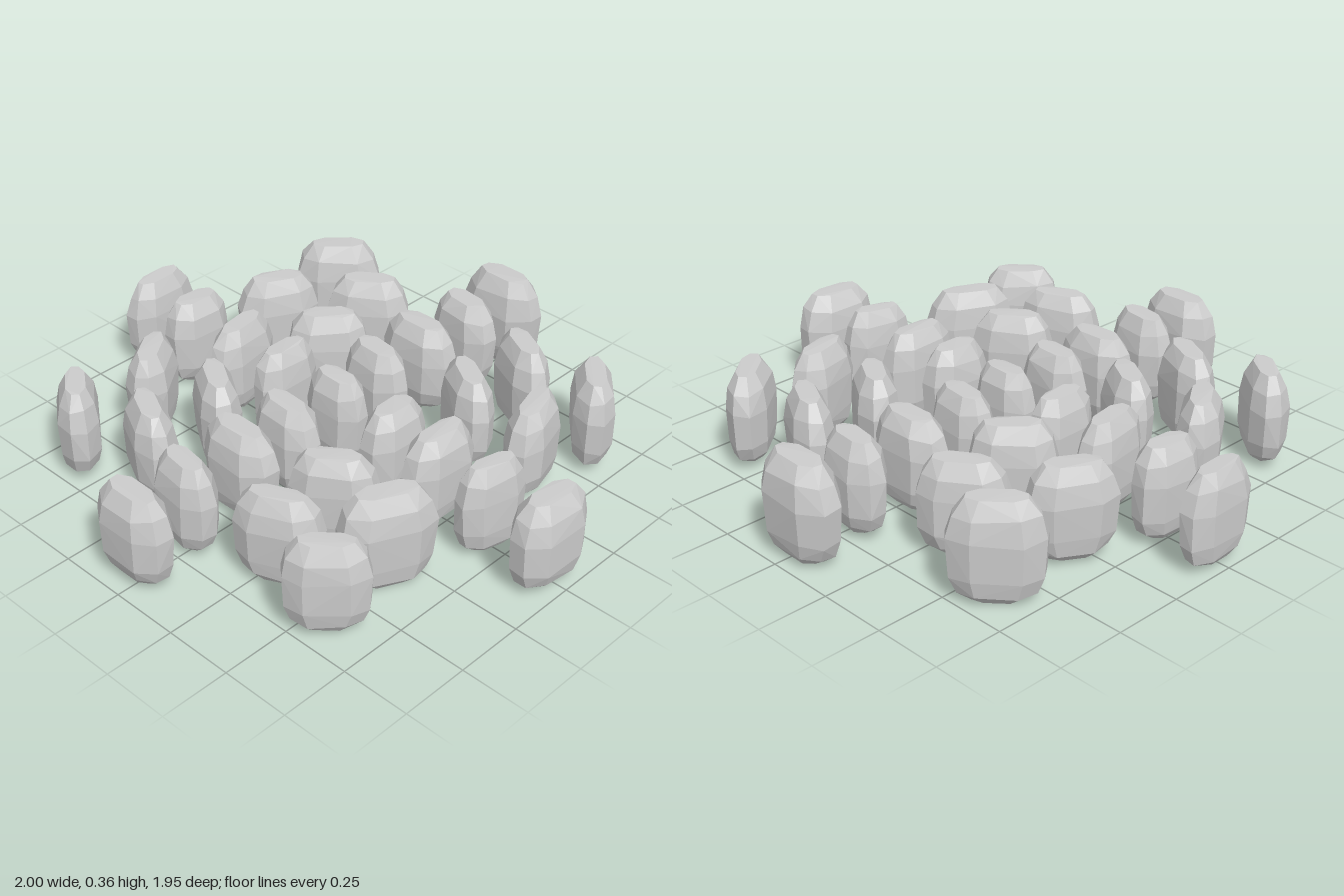
import * as THREE from 'three';
import { ConvexGeometry } from 'three/addons/geometries/ConvexGeometry.js';

// Small seeded generator for the chipped facets, range -1..1
function makeRandom(seed) {
  let s = seed * 7919 + 17;
  return () => {
    s = (s * 16807) % 2147483647;
    return (s / 2147483647) * 2 - 1;
  };
}

// Height levels of a stone: [y, length scale, thickness scale]
const LEVELS = [
  [0, 0.5, 0.5],
  [0.09, 0.8, 0.8],
  [0.25, 0.96, 0.96],
  [0.62, 1, 1],
  [0.84, 0.87, 0.86],
  [1, 0.62, 0.48],
];

// Blunt-ended hexagonal plan, as corners of one quarter
const PLAN = [[0.5, 0.2], [0.27, 0.5]];

// Upright faceted stone: length along x, thickness along z
function stoneGeometry(length, thickness, height, seed) {
  const random = makeRandom(seed);
  const points = [];
  LEVELS.forEach(([y, sx, sz], level) => {
    const flat = level === 0 || level === LEVELS.length - 1;
    for (const [px, pz] of PLAN) {
      for (const mx of [-1, 1]) {
        for (const mz of [-1, 1]) {
          points.push(new THREE.Vector3(
            mx * px * sx * length * (1 + 0.035 * random()),
            (y + (flat ? 0.006 : 0.02) * random()) * height,
            mz * pz * sz * thickness * (1 + 0.04 * random())
          ));
        }
      }
    }
  });
  return new ConvexGeometry(points);
}

// Each stone: x, z, length, thickness, turn in degrees (from +x towards +z)
const COLUMN = [
  [-0.015, -0.895, 0.31, 0.17, 0],
  [-0.013, -0.675, 0.26, 0.15, 6],
  [-0.03, -0.45, 0.29, 0.16, 0],
  [-0.03, -0.22, 0.26, 0.15, 6],
  [-0.005, 0, 0.235, 0.14, 0],
  [-0.02, 0.225, 0.26, 0.15, 4],
  [-0.03, 0.43, 0.29, 0.16, 0],
  [-0.03, 0.67, 0.26, 0.15, 8],
  [-0.025, 0.89, 0.29, 0.16, 0],
];
const ROW = [
  [-0.935, -0.005, 0.28, 0.125, 89],
  [-0.725, 0, 0.245, 0.145, 94],
  [-0.485, 0, 0.29, 0.135, 82],
  [-0.265, 0, 0.25, 0.13, 92],
  [0.25, 0, 0.25, 0.145, 91],
  [0.45, 0, 0.29, 0.15, 90],
  [0.68, 0.005, 0.25, 0.12, 104],
  [0.915, 0.005, 0.29, 0.16, 94],
];
const DIAGONALS = [
  [-0.615, -0.63, 0.305, 0.155, -44],
  [-0.365, -0.535, 0.295, 0.15, -37],
  [-0.615, -0.31, 0.29, 0.15, -60],
  [-0.305, -0.26, 0.29, 0.15, -46],
  [0.61, -0.62, 0.295, 0.145, 49],
  [0.315, -0.6, 0.29, 0.14, 27],
  [0.57, -0.34, 0.29, 0.145, 73],
  [0.295, -0.33, 0.285, 0.145, 31],
  [-0.595, 0.325, 0.29, 0.145, 56],
  [-0.31, 0.28, 0.29, 0.145, 32],
  [-0.615, 0.64, 0.275, 0.14, 38],
  [-0.34, 0.555, 0.295, 0.145, 26],
  [0.295, 0.33, 0.29, 0.15, -33],
  [0.55, 0.355, 0.32, 0.155, -64],
  [0.31, 0.59, 0.295, 0.145, -25],
  [0.575, 0.645, 0.28, 0.145, -43],
];

export function createModel() {
  const group = new THREE.Group();
  group.name = 'standingStones';
  const material = new THREE.MeshStandardMaterial({ color: 0xcccccc, flatShading: true });
  let seed = 1;

  const addStones = (name, list) => {
    const set = new THREE.Group();
    set.name = name;
    list.forEach(([x, z, length, thickness, turn], i) => {
      // Longer stones stand slightly taller and sit lower
      const base = length > 0.3 ? 0.003 : 0.018;
      const top = length > 0.3 ? 0.358 : 0.348;
      const stone = new THREE.Mesh(stoneGeometry(length, thickness, top - base, seed++), material);
      stone.name = `${name}Stone${i + 1}`;
      stone.position.set(x, base, z);
      stone.rotation.y = -THREE.MathUtils.degToRad(turn);
      set.add(stone);
    });
    group.add(set);
  };

  addStones('column', COLUMN);
  addStones('row', ROW);
  addStones('diagonal', DIAGONALS);
  return group;
}
